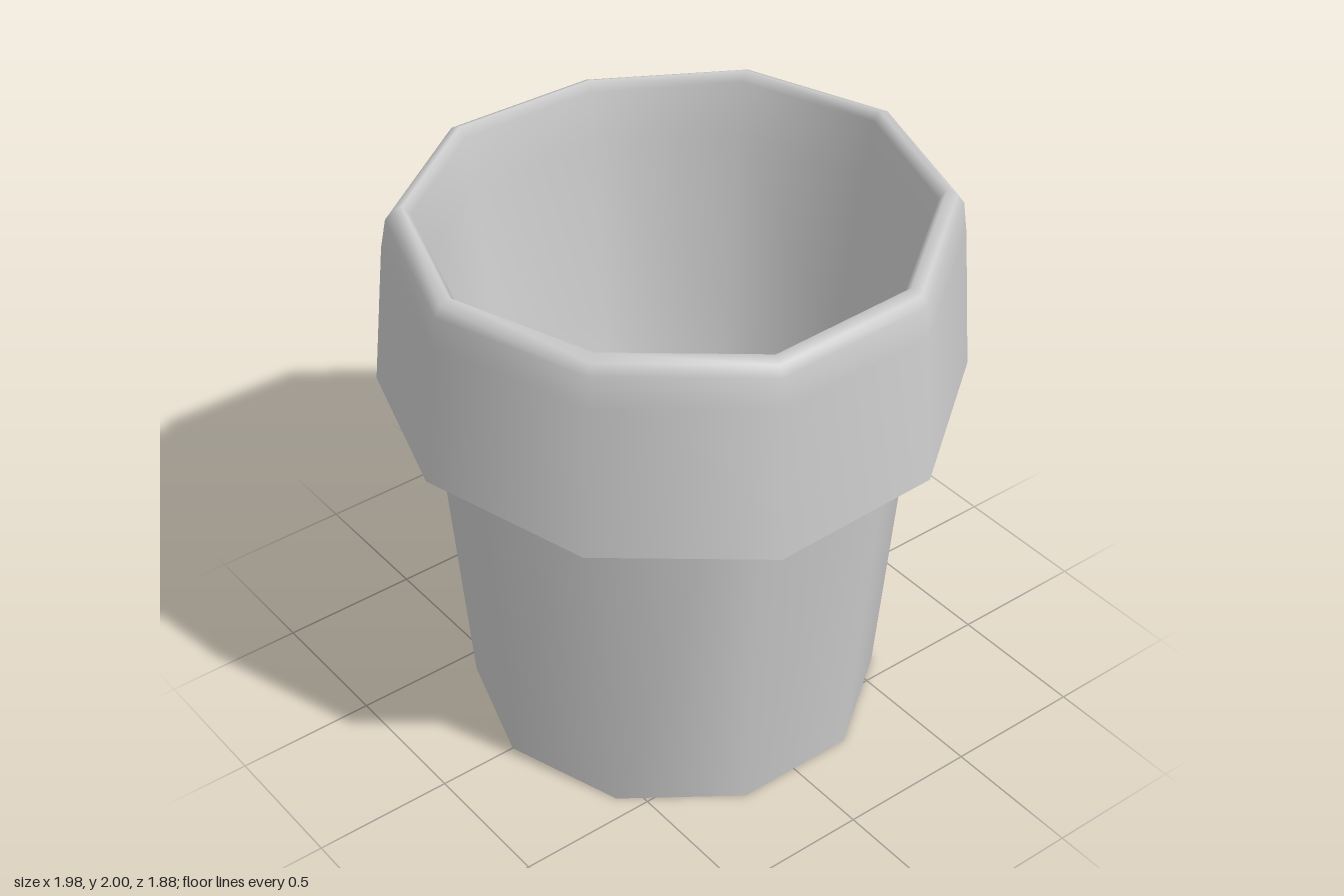
import * as THREE from 'three';

const SIDES = 10;
// Heights at each corner, going round from +x towards -z
const HEM = [1.29, 1.275, 1.305, 1.30, 1.31, 1.32, 1.29, 1.265, 1.285, 1.325];
const CREST = [2.0, 1.985, 1.955, 1.965, 1.975, 1.965, 1.975, 1.955, 1.97, 2.0];

export function createModel() {
  const group = new THREE.Group();
  group.name = 'linedBin';
  const material = new THREE.MeshStandardMaterial({ color: 0xcccccc, side: THREE.DoubleSide });
  const add = (name, geometry) => {
    const mesh = new THREE.Mesh(geometry, material);
    mesh.name = name;
    group.add(mesh);
    return mesh;
  };

  // Tapered ten-sided bin wall and its base
  const wall = new THREE.CylinderGeometry(0.87, 0.72, 1.88, SIDES, 1, true, Math.PI / 2);
  add('binWall', wall).position.set(0.007, 0.94, 0);
  const base = new THREE.CircleGeometry(0.72, SIDES).rotateX(Math.PI / 2);
  add('binBase', base).position.x = 0.007;

  // Liner profile: radius, height, share of hem wave, share of rim wave
  const profile = [
    [0.988, 1.295, 1, 0],
    [0.945, 1.82, 0, 0.7],
    [0.928, 1.925, 0, 1],
    [0.905, 1.958, 0, 1],
    [0.87, 1.974, 0, 1],
    [0.845, 1.94, 0, 1],
    [0.82, 1.75, 0, 0.5],
    [0.73, 1.1, 0, 0],
    [0.58, 0.38, 0, 0],
    [0.43, 0.2, 0, 0],
    [0, 0.14, 0, 0],
  ];
  const liner = new THREE.LatheGeometry(
    profile.map(([r, y]) => new THREE.Vector2(r, y)), SIDES, Math.PI / 2);

  // Uneven hem and wavy rim
  const pos = liner.attributes.position;
  for (let i = 0; i < pos.count; i++) {
    const corner = Math.floor(i / profile.length) % SIDES;
    const [, y, hem, rim] = profile[i % profile.length];
    pos.setY(i, y + hem * (HEM[corner] - 1.295) + rim * (CREST[corner] - 1.974));
    pos.setX(i, pos.getX(i) + rim * 0.01);
  }
  add('binLiner', liner);

  return group;
}
